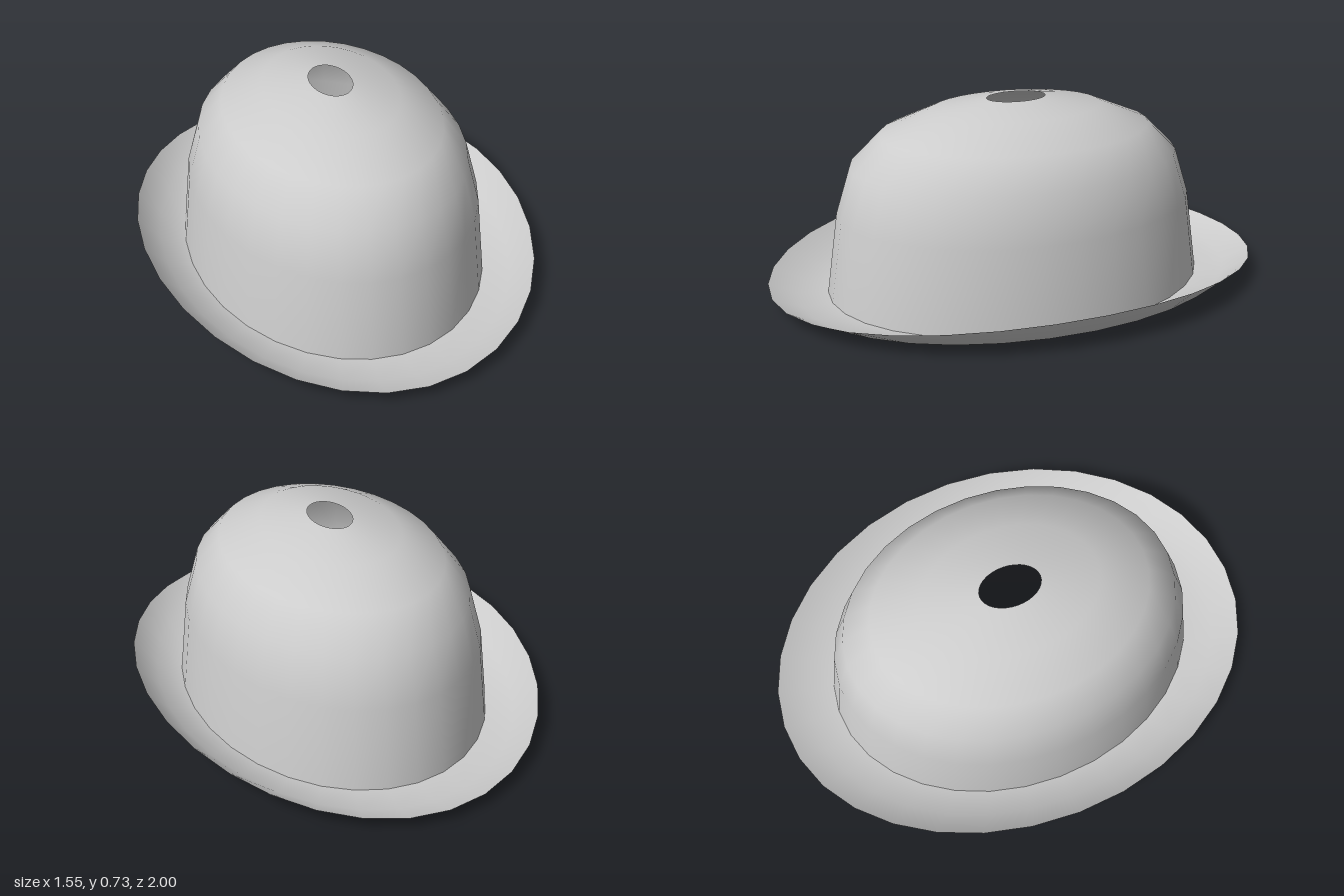
import * as THREE from 'three';

const SIDES = 32;

// Smooth surface through oval rings [rx, rz, y, lift]; lift raises the left and right sides
function ovalSurface(rings) {
  const positions = [], index = [];
  for (const [rx, rz, y, lift = 0] of rings) {
    for (let i = 0; i < SIDES; i++) {
      const a = (i / SIDES) * Math.PI * 2;
      const s = Math.sin(a);
      positions.push(rx * s, y + lift * s * s, rz * Math.cos(a));
    }
  }
  for (let r = 0; r < rings.length - 1; r++) {
    for (let i = 0; i < SIDES; i++) {
      const j = (i + 1) % SIDES;
      const a = r * SIDES + i, b = r * SIDES + j;
      index.push(a, b, b + SIDES, a, b + SIDES, a + SIDES);
    }
  }
  const geometry = new THREE.BufferGeometry();
  geometry.setAttribute('position', new THREE.Float32BufferAttribute(positions, 3));
  geometry.setIndex(index);
  geometry.computeVertexNormals();
  return geometry;
}

export function createModel() {
  const felt = new THREE.MeshStandardMaterial({ color: 0xcccccc, side: THREE.DoubleSide });
  felt.name = 'grey felt';

  const hat = new THREE.Group();
  hat.name = 'hat';
  const add = (name, rings) => {
    const mesh = new THREE.Mesh(ovalSurface(rings), felt);
    mesh.name = name;
    hat.add(mesh);
  };

  // Domed crown, open below and with a small oval hole at the top
  add('crown', [
    [0.59, 0.77, 0],
    [0.555, 0.722, 0.32],
    [0.505, 0.665, 0.5],
    [0.412, 0.547, 0.615],
    [0.255, 0.348, 0.697],
    [0.08, 0.12, 0.733],
  ]);

  // Brim, curled up further at the sides; rings run inwards so the top faces up
  add('brim', [
    [0.775, 1.0, 0.055, 0.072],
    [0.69, 0.89, 0.007, 0.023],
    [0.59, 0.77, 0],
  ]);

  return hat;
}
